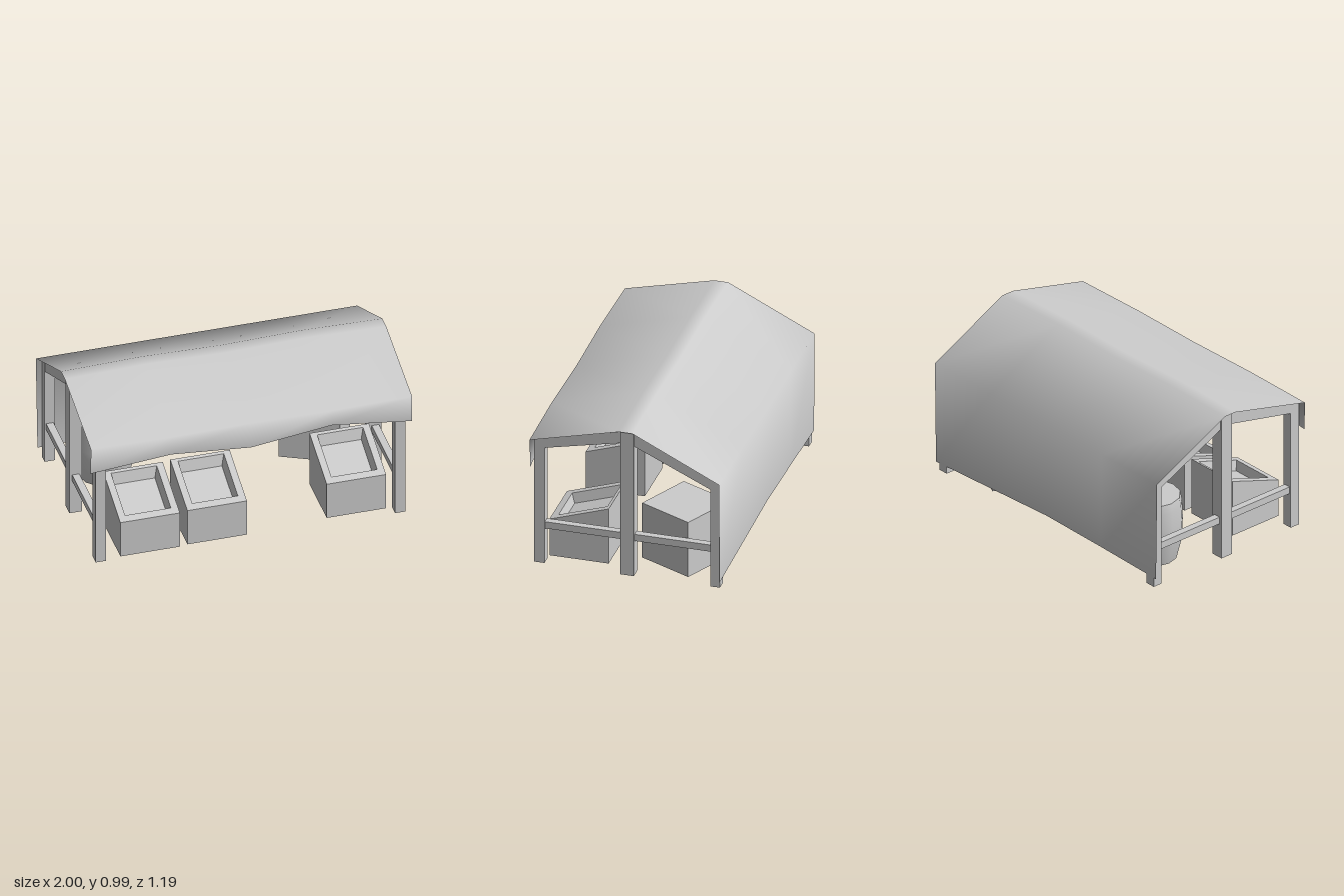
import * as THREE from 'three';

const grey = new THREE.MeshStandardMaterial({ color: 0xcccccc, side: THREE.DoubleSide });
grey.name = 'plain grey';

// four corners in plan; front and back edges may differ in height
function ring(cx, w, zFront, zBack, yFront, yBack = yFront) {
  const h = w / 2;
  return [[cx + h, yFront, zFront], [cx + h, yBack, zBack], [cx - h, yBack, zBack], [cx - h, yFront, zFront]];
}

// flat-faced skin through the rings, always capped at the last one
function loft(rings, bottomCap = false) {
  const pos = [];
  const quad = (a, b, c, d) => [a, b, c, a, c, d].forEach(p => pos.push(...p));
  for (let r = 0; r < rings.length - 1; r++) {
    const a = rings[r], b = rings[r + 1];
    for (let i = 0; i < 4; i++) {
      const k = (i + 1) % 4;
      quad(a[i], a[k], b[k], b[i]);
    }
  }
  quad(...rings[rings.length - 1]);
  if (bottomCap) quad(...[...rings[0]].reverse());
  const g = new THREE.BufferGeometry();
  g.setAttribute('position', new THREE.Float32BufferAttribute(pos, 3));
  g.computeVertexNormals();
  return g;
}

// cloth: one cross-section from front hem over the ridge to the back hem, repeated along x
function canopyGeometry() {
  const frontHem = [0.66, 0.71, 0.66, 0.73, 0.66];
  const backHem = [0.065, 0.08, 0.09, 0.068, 0.047];
  const pos = [], index = [];
  for (let i = 0; i < 5; i++) {
    const x = -1 + i * 0.5, wave = i % 2;
    const section = [
      [frontHem[i], 0.583 + 0.008 * wave],
      [0.84, 0.588 + 0.008 * wave],
      [0.98 + 0.012 * wave, 0.03],
      [0.98 + 0.012 * wave, -0.055],
      [0.715, -0.595],
      [backHem[i], -0.595],
    ];
    section.forEach(([y, z], j) => pos.push(j === 5 ? x * 0.99 : x, y, z));
  }
  for (let i = 0; i < 4; i++) {
    for (let j = 0; j < 5; j++) {
      const a = i * 6 + j, b = a + 6;
      index.push(a, b, b + 1, a, b + 1, a + 1);
    }
  }
  const g = new THREE.BufferGeometry();
  g.setAttribute('position', new THREE.Float32BufferAttribute(pos, 3));
  g.setIndex(index);
  g.computeVertexNormals();
  return g;
}

// display crate with a sloping rim and a sunken tray, open underneath
function crateGeometry() {
  const slope = z => 0.245 + (0.505 - z) * 0.338;
  const level = (w, zf, zb, drop) => ring(0, w, zf, zb, slope(zf) - drop, slope(zb) - drop);
  return loft([
    ring(0, 0.37, 0.505, 0.135, 0),
    level(0.37, 0.505, 0.135, 0),
    level(0.285, 0.46, 0.155, 0),
    level(0.25, 0.44, 0.175, 0.065),
  ]);
}

export function createModel() {
  const model = new THREE.Group();
  const add = (name, geometry, parent = model) => {
    const m = new THREE.Mesh(geometry, grey);
    m.name = name;
    parent.add(m);
    return m;
  };

  add('canopy', canopyGeometry());

  // end frames
  for (const side of [-1, 1]) {
    const frame = new THREE.Group();
    frame.name = side > 0 ? 'leftFrame' : 'rightFrame';
    model.add(frame);
    const x = side * 0.932;
    add('frontPost', loft([ring(x, 0.065, 0.57, 0.505, 0), ring(x, 0.065, 0.57, 0.505, 0.835, 0.85)]), frame);
    add('ridgePost', loft([ring(x, 0.08, 0.03, -0.055, 0), ring(x, 0.08, 0.03, -0.055, 0.973)]), frame);
    add('backPost', loft([ring(x, 0.065, -0.53, -0.59, 0), ring(x, 0.065, -0.53, -0.59, 0.735, 0.71)]), frame);
    add('frontRafter', loft([
      ring(x, 0.06, 0.505, 0.03, 0.78, 0.885), ring(x, 0.06, 0.505, 0.03, 0.85, 0.96)], true), frame);
    add('backRafter', loft([
      ring(x, 0.06, -0.055, -0.53, 0.875, 0.655), ring(x, 0.06, -0.055, -0.53, 0.955, 0.735)], true), frame);
    add('sideRail', loft([
      ring(x, 0.045, 0.505, -0.53, 0.23), ring(x, 0.045, 0.505, -0.53, 0.275)], true), frame);
  }

  // display crates along the front
  const crate = crateGeometry();
  for (const [x, z] of [[-0.62, 0.045], [-0.2, 0.035], [0.677, 0]]) {
    add('displayCrate', crate).position.set(x, 0, z);
  }

  // closed box turned at the back
  const box = add('storageBox', new THREE.BoxGeometry(0.371, 0.37, 0.371));
  box.position.set(0.6425, 0.185, -0.2825);
  box.rotation.y = -0.445;

  // barrel with smooth sides and flat ends
  const profile = [[0.155, 0], [0.187, 0.13], [0.19, 0.24], [0.185, 0.36], [0.174, 0.415]]
    .map(([r, y]) => new THREE.Vector2(r, y));
  const barrel = new THREE.Group();
  barrel.name = 'barrel';
  barrel.position.set(-0.655, 0, -0.332);
  model.add(barrel);
  add('barrelSide', new THREE.LatheGeometry(profile, 12), barrel);
  const top = add('barrelTop', new THREE.CircleGeometry(0.174, 12), barrel);
  top.rotation.x = -Math.PI / 2;
  top.position.y = 0.415;
  add('barrelBottom', new THREE.CircleGeometry(0.155, 12), barrel).rotation.x = Math.PI / 2;

  return model;
}
